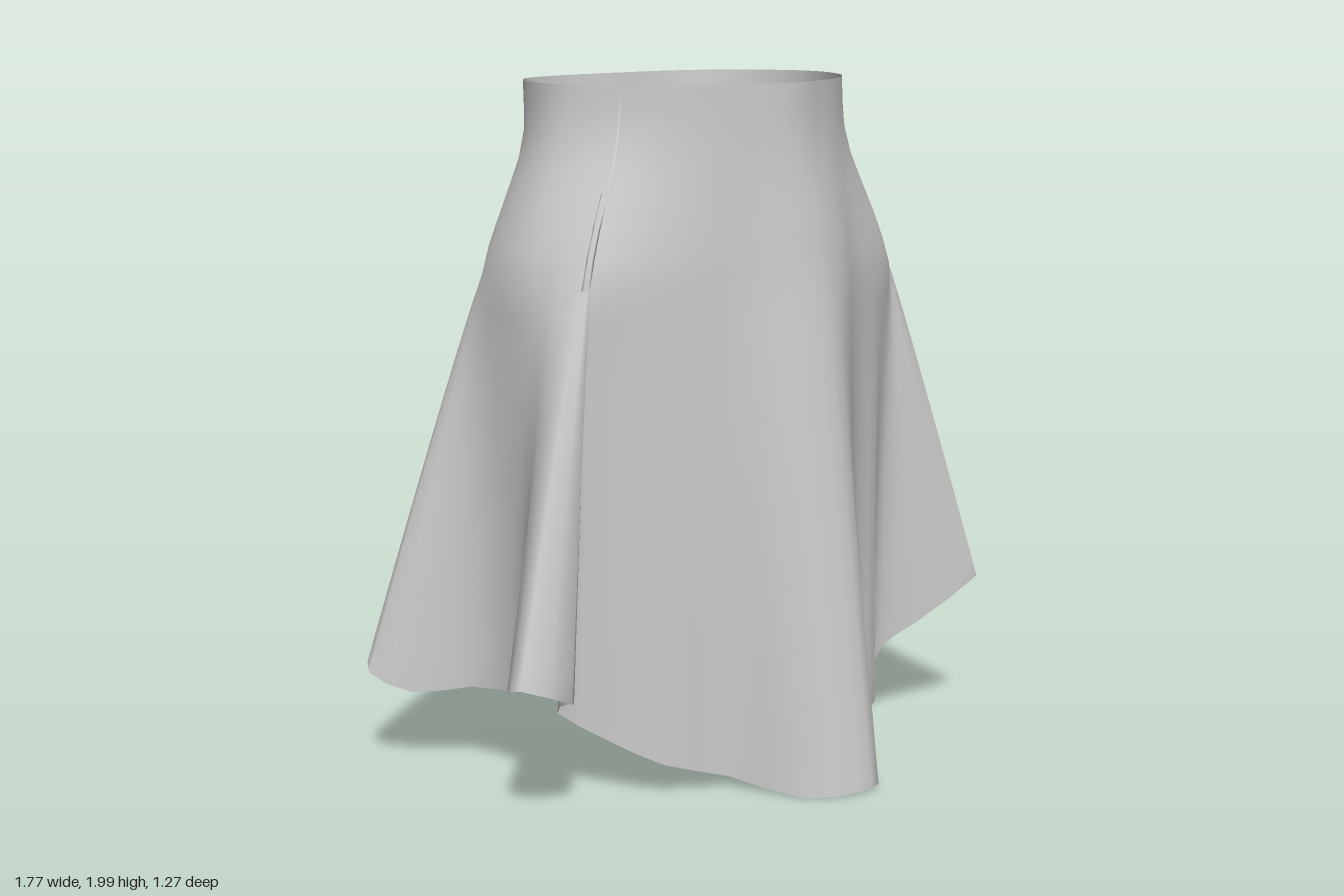
import * as THREE from 'three';

// Hem outline [x, y, z], from the front fold round by the left side (+x).
const HEM = [
  [0.07, 0.01, 0.63], [0.15, 0.015, 0.62], [0.2, 0.02, 0.51], [0.24, 0.05, 0.41], [0.33, 0.09, 0.32],
  [0.43, 0.12, 0.3], [0.48, 0.16, 0.22], [0.55, 0.25, 0.2], [0.66, 0.31, 0.23], [0.83, 0.455, 0.325],
  [0.83, 0.42, 0.23], [0.77, 0.36, 0.15], [0.68, 0.33, 0.04], [0.64, 0.3, -0.14], [0.71, 0.28, -0.22],
  [0.86, 0.27, -0.32], [0.885, 0.32, -0.4], [0.82, 0.37, -0.47], [0.72, 0.36, -0.42], [0.63, 0.36, -0.33],
  [0.53, 0.41, -0.32], [0.43, 0.44, -0.4], [0.355, 0.45, -0.48], [0.33, 0.46, -0.6], [0.24, 0.47, -0.64],
  [0.09, 0.46, -0.56], [-0.1, 0.45, -0.55], [-0.27, 0.47, -0.63], [-0.36, 0.46, -0.59], [-0.4, 0.45, -0.47],
  [-0.57, 0.41, -0.33], [-0.66, 0.37, -0.34], [-0.75, 0.35, -0.47], [-0.84, 0.33, -0.49], [-0.89, 0.29, -0.43],
  [-0.8, 0.235, -0.34], [-0.68, 0.26, -0.21], [-0.65, 0.28, -0.04], [-0.7, 0.33, 0.08], [-0.85, 0.38, 0.23],
  [-0.88, 0.42, 0.34], [-0.73, 0.36, 0.36], [-0.66, 0.32, 0.25], [-0.61, 0.25, 0.12], [-0.5, 0.17, 0.21],
  [-0.38, 0.1, 0.31], [-0.19, 0.04, 0.36], [-0.08, 0.005, 0.56],
];

// Waist and hip outlines [x, z], in the same order
const WAIST = [
  [0.01, 0.4], [0.1, 0.375], [0.25, 0.3], [0.38, 0.17], [0.45, 0], [0.45, -0.1], [0.4, -0.22], [0.31, -0.32],
  [0.2, -0.365], [0, -0.37], [-0.22, -0.365], [-0.38, -0.31], [-0.45, -0.23], [-0.5, -0.1], [-0.5, 0],
  [-0.43, 0.13], [-0.32, 0.26], [-0.2, 0.345], [-0.08, 0.39],
];
const HIP = [
  [0.06, 0.455], [0.18, 0.42], [0.28, 0.355], [0.43, 0.285], [0.55, 0.205], [0.605, 0.05], [0.61, -0.13],
  [0.56, -0.3], [0.42, -0.39], [0.25, -0.47], [0, -0.48], [-0.25, -0.47], [-0.42, -0.39], [-0.56, -0.3],
  [-0.63, -0.13], [-0.63, 0.05], [-0.55, 0.22], [-0.38, 0.295], [-0.2, 0.355], [-0.06, 0.43],
];

// Angle round the body, 0 at the front and growing towards +x
const bodyAngle = (x, z) => Math.atan2(x / 0.61, z / 0.465);

// Returns a function giving the point of a closed outline at an angle
function outline(points) {
  const curve = new THREE.CatmullRomCurve3(points.map(([x, z]) => new THREE.Vector3(x, 0, z)), true, 'centripetal');
  const samples = curve.getPoints(600);
  return angle => {
    const gap = p => 1 - Math.cos(bodyAngle(p.x, p.z) - angle);
    return samples.reduce((best, p) => (gap(p) < gap(best) ? p : best));
  };
}

// Angle of each column, smoothed so that the folds gather evenly into the hip.
function columnAngles(pts) {
  const n = pts.length;
  let a = [];
  pts.forEach((p, i) => {
    let v = bodyAngle(p.x, p.z);
    while (i > 0 && v < a[i - 1] - Math.PI) v += 2 * Math.PI;
    a.push(v);
  });
  for (let pass = 0; pass < 10; pass++) {
    a = a.map((v, i) => {
      const prev = i ? a[i - 1] : a[n - 1] - 2 * Math.PI;
      const next = i < n - 1 ? a[i + 1] : a[0] + 2 * Math.PI;
      return (prev + 2 * v + next) / 4;
    });
  }
  return a;
}

export function createModel() {
  const group = new THREE.Group();
  group.name = 'skirt';

  // Hem curve with two columns for each corner
  const curve = new THREE.CatmullRomCurve3(HEM.map(p => new THREE.Vector3(...p)), true, 'centripetal');
  const n = HEM.length * 2;
  const hem = Array.from({ length: n }, (_, i) => curve.getPoint(i / n));
  const angles = columnAngles(hem);
  const waist = angles.map(outline(WAIST));
  const hip = angles.map(outline(HIP));

  // Upper rows: [height, flare from waist (0) to hip (1), extra depth at the back]
  const upper = [
    [1.99, 0, 0.02], [1.92, 0.02, 0.008], [1.85, 0.07, -0.01], [1.77, 0.22, -0.022],
    [1.69, 0.43, -0.02], [1.6, 0.67, -0.015], [1.52, 0.86, -0.005], [1.44, 1, 0],
  ];
  const lowerRows = 14;
  const lerp = THREE.MathUtils.lerp;
  const rows = upper.length + lowerRows;
  const pos = [];

  for (let r = 0; r < rows; r++) {
    for (let i = 0; i < n; i++) {
      if (r < upper.length) {
        // Waist and hips
        const [y, f, depth] = upper[r];
        const a = angles[i];
        const tilt = r === 0 ? 0.008 * Math.sin(a) - 0.004 * Math.cos(a) : 0;
        const z = lerp(waist[i].z, hip[i].z, f) - depth * Math.max(-Math.cos(a), 0);
        pos.push(lerp(waist[i].x, hip[i].x, f), y + tilt, z);
      } else {
        // Folds opening down to the hem
        const t = (r - upper.length + 1) / lowerRows;
        const f = Math.pow(t, 0.95);
        pos.push(lerp(hip[i].x, hem[i].x, f), lerp(1.44, hem[i].y, t), lerp(hip[i].z, hem[i].z, f));
      }
    }
  }

  const index = [];
  for (let r = 0; r < rows - 1; r++) {
    for (let i = 0; i < n; i++) {
      const j = (i + 1) % n;
      const a = r * n + i, b = r * n + j, c = a + n, d = b + n;
      index.push(a, c, b, b, c, d);
    }
  }

  const geo = new THREE.BufferGeometry();
  geo.setAttribute('position', new THREE.Float32BufferAttribute(pos, 3));
  geo.setIndex(index);
  geo.computeVertexNormals();

  const cloth = new THREE.Mesh(geo, new THREE.MeshStandardMaterial({ color: 0xcccccc, side: THREE.DoubleSide }));
  cloth.name = 'skirtCloth';
  group.add(cloth);
  return group;
}
